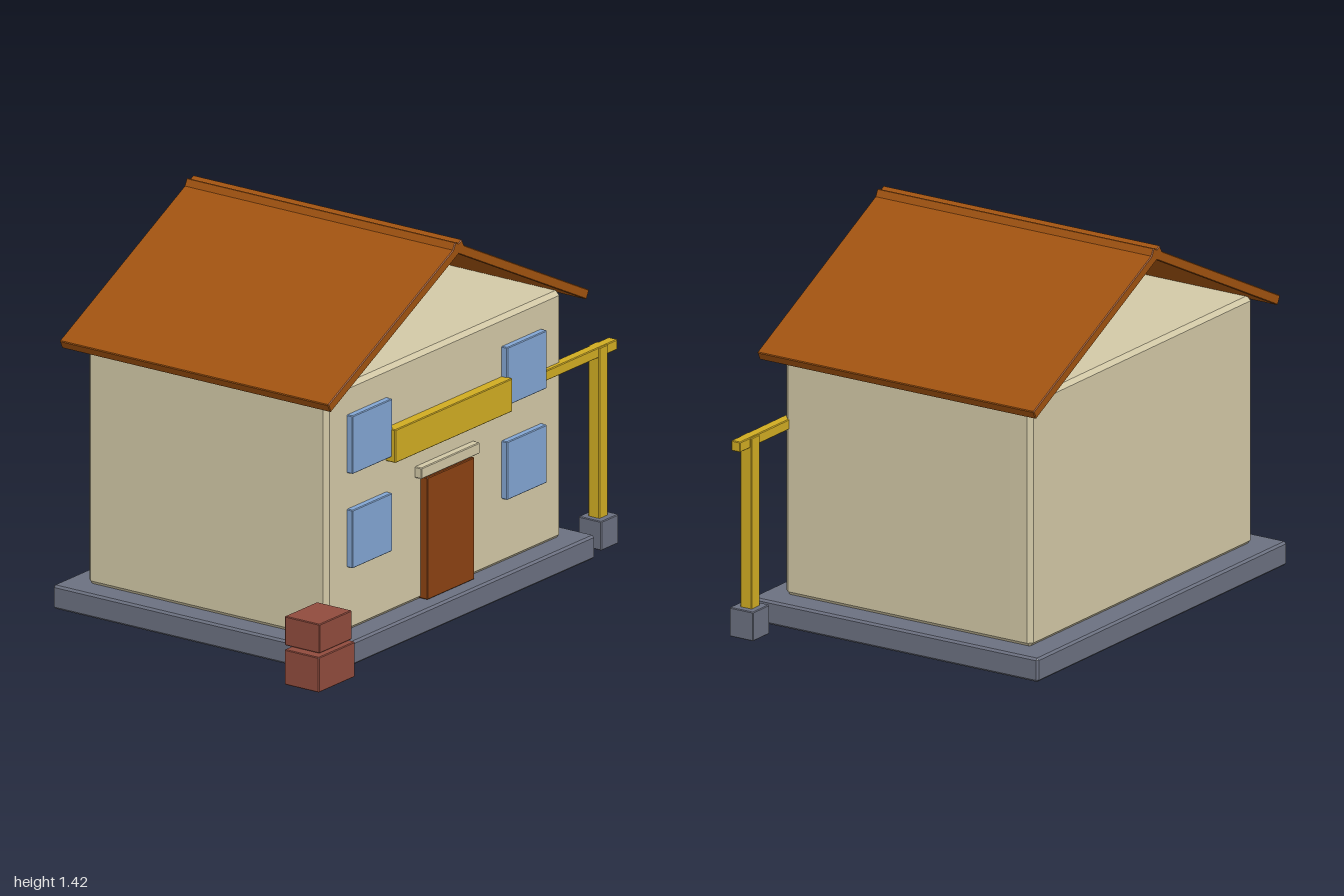
import * as THREE from 'three';
import { ConvexGeometry } from 'three/addons/geometries/ConvexGeometry.js';

const mat = (name, color) => {
  const m = new THREE.MeshStandardMaterial({ color });
  m.name = name;
  return m;
};

// Box with flat chamfered edges, centred on the origin
function chamferBox(w, h, d, c) {
  const points = [];
  for (const x of [-1, 1]) for (const y of [-1, 1]) for (const z of [-1, 1]) {
    for (let axis = 0; axis < 3; axis++) {
      const inset = [c, c, c];
      inset[axis] = 0;
      points.push(new THREE.Vector3(
        x * (w / 2 - inset[0]), y * (h / 2 - inset[1]), z * (d / 2 - inset[2])));
    }
  }
  return new ConvexGeometry(points);
}

export function createModel() {
  const house = new THREE.Group();
  house.name = 'house';

  const plaster = mat('plaster', 0xd2c8a6);
  const roofTile = mat('roofTile', 0xa0520f);
  const stone = mat('stone', 0x6b7080);
  const glass = mat('glass', 0x82a5d2);
  const yellow = mat('yellowPaint', 0xd0ac22);
  const wood = mat('doorWood', 0x8b4212);
  const brick = mat('brick', 0x904b3d);

  // Place a block by its min and max on each axis
  function block(name, material, [x0, x1], [y0, y1], [z0, z1], chamfer = 0.003) {
    const mesh = new THREE.Mesh(chamferBox(x1 - x0, y1 - y0, z1 - z0, chamfer), material);
    mesh.position.set((x0 + x1) / 2, (y0 + y1) / 2, (z0 + z1) / 2);
    mesh.name = name;
    house.add(mesh);
    return mesh;
  }

  // Foundation and body
  block('foundation', stone, [-0.82, 0.775], [0, 0.09], [-0.658, 0.58], 0.008);
  block('walls', plaster, [-0.735, 0.685], [0.088, 1.025], [-0.568, 0.498], 0.016);

  // Two roof slabs crossing at the ridge, open at the gables
  const ridgeX = -0.022;
  for (const side of [-1, 1]) {
    const slab = new THREE.Mesh(chamferBox(0.904, 0.036, 1.195, 0.003), roofTile);
    slab.position.set(ridgeX + side * 0.376, 1.202, -0.037);
    slab.rotation.z = -side * Math.atan(0.5);
    slab.name = side < 0 ? 'roofRight' : 'roofLeft';
    house.add(slab);
  }

  // Four windows
  for (const x of [-0.612, 0.322]) for (const y of [0.335, 0.692]) {
    block('window', glass, [x, x + 0.24], [y, y + 0.22], [0.485, 0.523]);
  }

  // Entrance
  block('door', wood, [-0.167, 0.117], [0.094, 0.556], [0.485, 0.528]);
  block('lintel', plaster, [-0.202, 0.152], [0.56, 0.602], [0.485, 0.527]);
  block('signBoard', yellow, [-0.377, 0.331], [0.672, 0.798], [0.49, 0.54]);

  // Side beam on a post
  block('beam', yellow, [0.5, 0.997], [0.717, 0.756], [0.477, 0.516]);
  block('post', yellow, [0.882, 0.934], [0.1, 0.755], [0.47, 0.52]);
  block('postFoot', stone, [0.857, 0.962], [0, 0.11], [0.445, 0.547]);

  // Stacked bricks at the front corner
  block('lowerBrick', brick, [-1, -0.78], [0, 0.133], [0.505, 0.658]);
  block('upperBrick', brick, [-0.967, -0.772], [0.135, 0.245], [0.482, 0.637]);

  return house;
}
